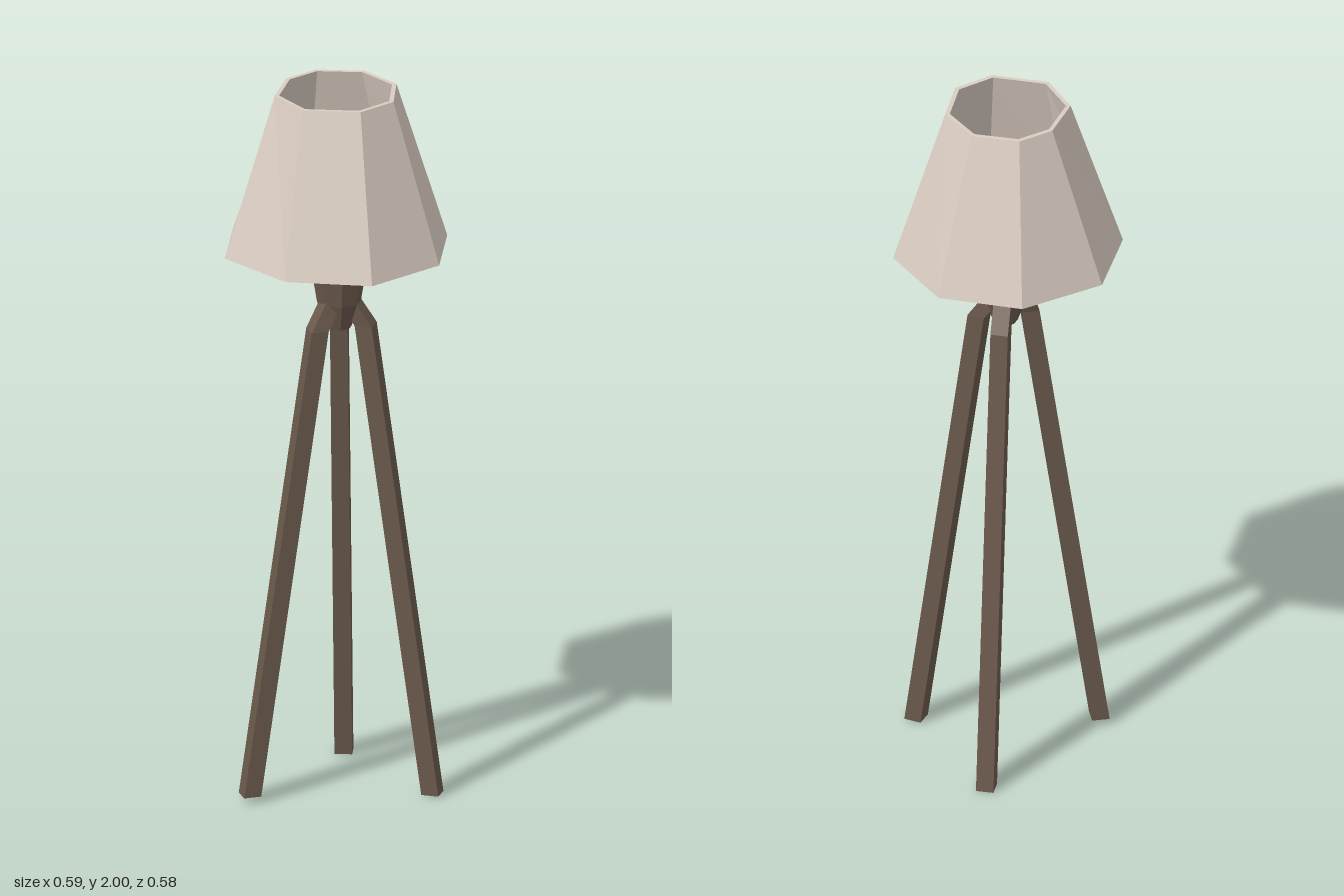
import * as THREE from 'three';

const wood = new THREE.MeshStandardMaterial({ color: 0x6b594c, flatShading: true });
wood.name = 'wood';
const fabric = new THREE.MeshStandardMaterial({ color: 0xdacdc2, flatShading: true });
fabric.name = 'lampshade fabric';
const glow = new THREE.MeshStandardMaterial({ color: 0xdac870, flatShading: true });
glow.name = 'bulb yellow';

// Joins rings of [x, y, z] corners; capped ends by default, or wrapped last-to-first
function loft(rings, wrap = false) {
  const pos = [];
  const tri = (...corners) => corners.forEach((c) => pos.push(...c));
  const n = rings[0].length;
  const spans = wrap ? rings.length : rings.length - 1;
  for (let i = 0; i < spans; i++) {
    const lo = rings[i], hi = rings[(i + 1) % rings.length];
    for (let j = 0; j < n; j++) {
      const k = (j + 1) % n;
      tri(lo[j], hi[j], hi[k]);
      tri(lo[j], hi[k], lo[k]);
    }
  }
  if (!wrap) {
    const bottom = rings[0], top = rings[rings.length - 1];
    for (let j = 1; j < n - 1; j++) {
      tri(bottom[0], bottom[j], bottom[j + 1]);
      tri(top[0], top[j + 1], top[j]);
    }
  }
  const geo = new THREE.BufferGeometry();
  geo.setAttribute('position', new THREE.Float32BufferAttribute(pos, 3));
  geo.computeVertexNormals();
  return geo;
}

// Square leg following foot, knee and top centres
function legGeometry(path) {
  const [foot, knee] = path;
  const a = Math.atan2(foot[2] - knee[2], foot[0] - knee[0]);
  const h = 0.024;
  const corners = [[-h, -h], [h, -h], [h, h], [-h, h]];
  return loft(path.map(([x, y, z]) => corners.map(([u, v]) => [
    x + u * Math.cos(a) - v * Math.sin(a),
    y,
    z + u * Math.sin(a) + v * Math.cos(a),
  ])));
}

function lathe(profile, turn) {
  const geo = new THREE.LatheGeometry(profile.map(([r, y]) => new THREE.Vector2(r, y)), 8);
  return geo.rotateY(turn);
}

export function createModel() {
  const lamp = new THREE.Group();
  lamp.name = 'tripodFloorLamp';
  const add = (name, geo, mat) => {
    const mesh = new THREE.Mesh(geo, mat);
    mesh.name = name;
    lamp.add(mesh);
    return mesh;
  };

  // Three splayed legs, bent inwards at the top
  const legs = {
    backLeg: [[0.002, 0, -0.262], [0.003, 1.335, -0.075], [0.005, 1.41, -0.025]],
    leftLeg: [[0.263, 0.003, 0.045], [0.08, 1.335, 0.005], [0.03, 1.41, 0]],
    rightLeg: [[-0.223, 0.018, 0.133], [-0.046, 1.335, 0.06], [-0.01, 1.41, 0.025]],
  };
  for (const [name, path] of Object.entries(legs)) add(name, legGeometry(path), wood);

  // Turned socket body
  add('socketBody', lathe([
    [0, 1.32], [0.034, 1.325], [0.06, 1.4], [0.078, 1.51],
    [0.076, 1.57], [0.056, 1.615], [0, 1.62],
  ], 0.2), wood).position.set(0.008, 0, 0.003);

  // Faceted bulb
  add('bulb', lathe([
    [0.03, 1.61], [0.036, 1.64], [0.082, 1.71], [0.082, 1.75], [0.058, 1.79], [0, 1.81],
  ], 0.2), glow).position.set(0.004, 0, 0.005);

  // Uneven eight-sided shade with a thin wall, open at both ends
  const rim = [
    [0.13, -0.285], [0.292, -0.113], [0.287, 0.12], [0.118, 0.29],
    [-0.118, 0.275], [-0.293, 0.11], [-0.287, -0.127], [-0.103, -0.293],
  ];
  const crown = [
    [0.065, -0.163], [0.158, -0.07], [0.16, 0.067], [0.077, 0.152],
    [-0.08, 0.15], [-0.163, 0.045], [-0.142, -0.09], [-0.067, -0.163],
  ];
  const ring = (pts, y, s) => pts.map(([x, z]) => [x * s, y, z * s]);
  add('lampshade', loft([
    ring(rim, 1.552, 1), ring(crown, 2, 1), ring(crown, 2, 0.925), ring(rim, 1.552, 0.96),
  ], true), fabric);

  return lamp;
}
